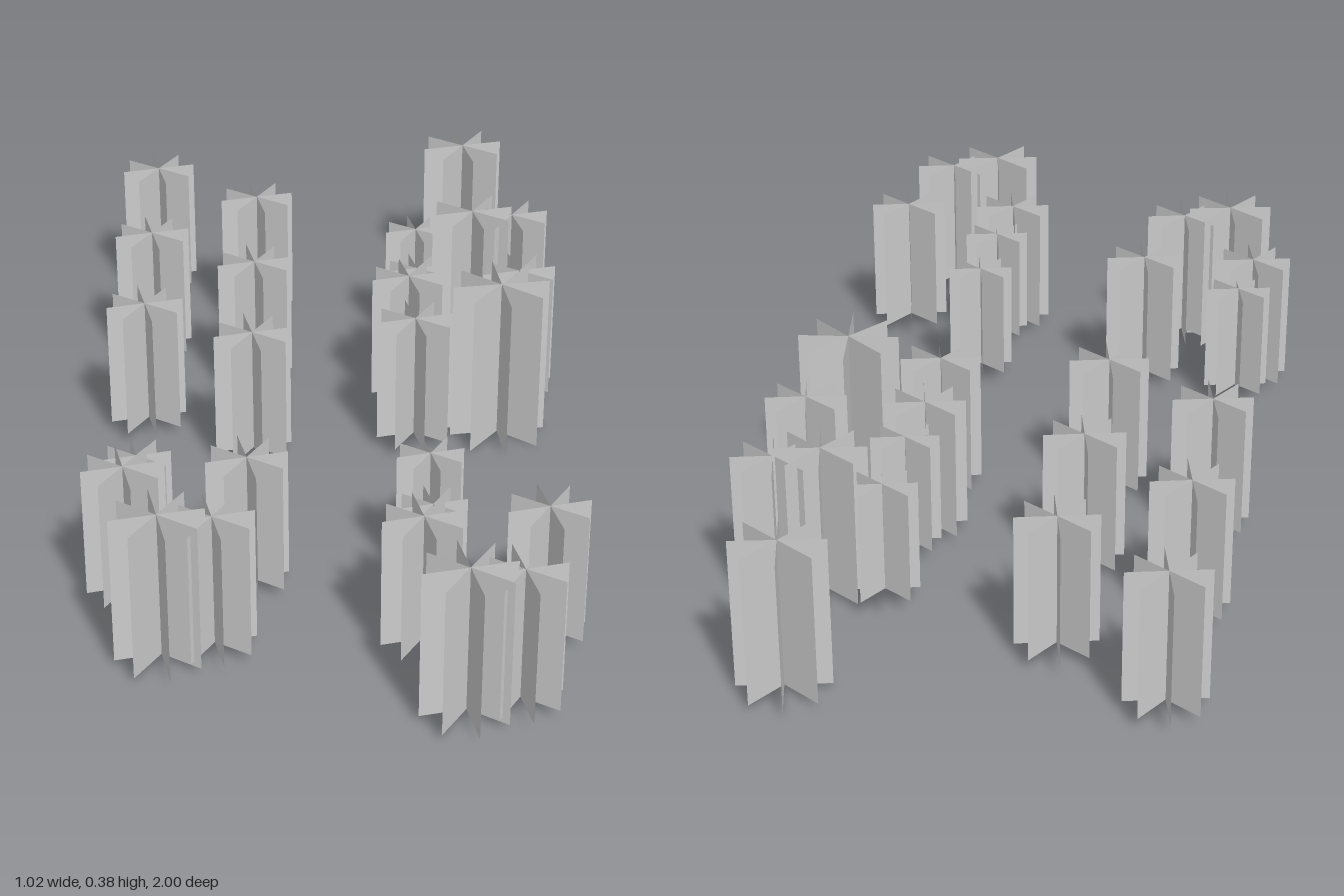
import * as THREE from 'three';

const material = new THREE.MeshStandardMaterial({ color: 0xcccccc, side: THREE.DoubleSide });

// Tuft sizes: [bottom, top, blade half-width, turn in degrees]
const SIZES = {
  small: [0.04, 0.29, 0.072, 14],
  medium: [0.026, 0.322, 0.086, 14],
  tallish: [0.026, 0.329, 0.087, 14],
  large: [0.014, 0.348, 0.096, 13],
  giant: [0, 0.381, 0.108, 8],
};

// One tuft: four upright flat cards crossing on a shared axis
function tuft(size, x, z) {
  const [bottom, top, half, turn] = SIZES[size];
  const group = new THREE.Group();
  group.name = size + 'Tuft';
  const card = new THREE.PlaneGeometry(half * 2, top - bottom);
  for (let i = 0; i < 4; i++) {
    const blade = new THREE.Mesh(card, material);
    blade.name = 'leafCard';
    blade.rotation.y = (i * Math.PI) / 4;
    group.add(blade);
  }
  group.position.set(x, (bottom + top) / 2, z);
  group.rotation.y = THREE.MathUtils.degToRad(turn);
  return group;
}

function patch(name, tufts, dx = 0, dz = 0) {
  const group = new THREE.Group();
  group.name = name;
  for (const [size, x, z] of tufts) group.add(tuft(size, x + dx, z + dz));
  return group;
}

export function createModel() {
  const model = new THREE.Group();
  model.name = 'plantTufts';

  // Front patches: the same cluster planted twice
  const cluster = [
    ['large', -0.348, 0.722],
    ['tallish', -0.242, 0.7],
    ['medium', -0.427, 0.508],
    ['medium', -0.178, 0.475],
    ['small', -0.405, 0.417],
  ];
  model.add(patch('frontRightPatch', cluster));
  model.add(patch('frontLeftPatch', cluster, 0.6, 0.184));
  model.add(patch('frontLeftStray', [['small', 0.197, 0.412]]));

  // Back right: two staggered rows
  const rows = [];
  for (let i = 0; i < 3; i++) {
    rows.push(['medium', -0.417, -0.837 + i * 0.337]);
    rows.push(['medium', -0.176, -0.682 + i * 0.325]);
  }
  model.add(patch('backRightRows', rows));

  // Back left: mixed sizes
  model.add(patch('backLeftPatch', [
    ['large', 0.326, -0.905],
    ['large', 0.332, -0.553],
    ['tallish', 0.426, -0.57],
    ['small', 0.2, -0.574],
    ['small', 0.197, -0.381],
    ['medium', 0.175, -0.285],
    ['medium', 0.426, -0.308],
    ['medium', 0.183, -0.091],
    ['giant', 0.374, -0.137],
  ]));
  return model;
}
